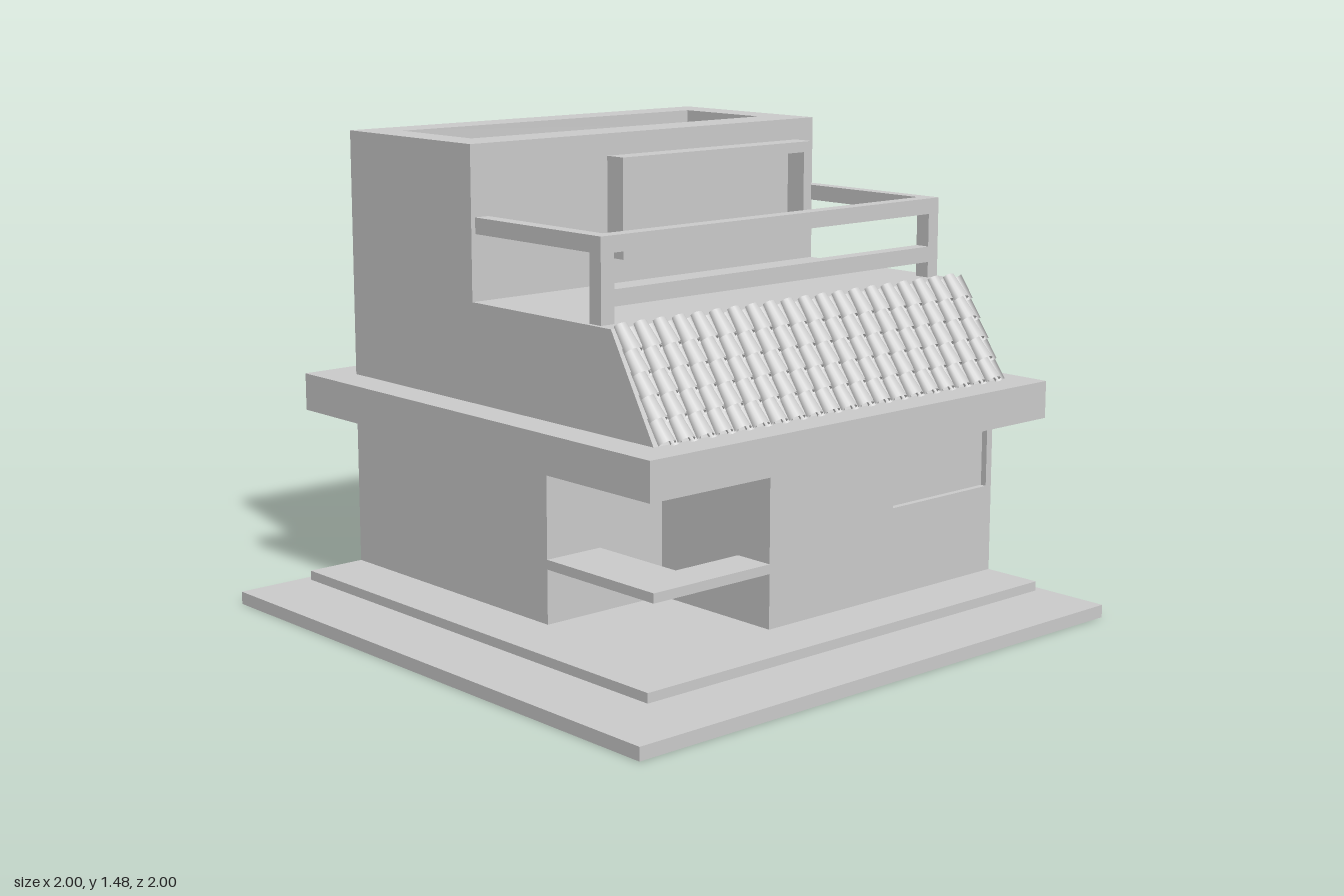
import * as THREE from 'three';
import { mergeGeometries } from 'three/addons/utils/BufferGeometryUtils.js';

const material = new THREE.MeshStandardMaterial({ color: 0xcccccc });
const tileMaterial = new THREE.MeshStandardMaterial({ color: 0xcccccc, side: THREE.DoubleSide });

export function createModel() {
  const model = new THREE.Group();

  const add = (name, geometry, parent = model, mat = material) => {
    const mesh = new THREE.Mesh(geometry, mat);
    mesh.name = name;
    parent.add(mesh);
    return mesh;
  };

  // Box given by its limits on each axis
  const box = (name, x0, x1, y0, y1, z0, z1, parent) => {
    const g = new THREE.BoxGeometry(x1 - x0, y1 - y0, z1 - z0);
    g.translate((x0 + x1) / 2, (y0 + y1) / 2, (z0 + z1) / 2);
    return add(name, g, parent);
  };

  const polygon = (points) => new THREE.Shape(points.map(([a, b]) => new THREE.Vector2(a, b)));
  const rect = (a0, a1, b0, b1) => polygon([[a0, b0], [a1, b0], [a1, b1], [a0, b1]]);
  const extrude = (shape, depth) => new THREE.ExtrudeGeometry(shape, { depth, bevelEnabled: false });

  // Upright rectangular frame facing the front
  const frame = (name, outer, inner, z0, z1) => {
    const shape = rect(...outer);
    shape.holes.push(rect(...inner));
    return add(name, extrude(shape, z1 - z0).translate(0, 0, z0));
  };

  // Ground plates
  box('basePlate', -1, 0.91, 0, 0.04, -0.91, 1);
  box('pavement', -0.76, 0.88, 0.04, 0.07, -0.88, 0.76);

  // Ground floor with an open corner and a shallow window niche
  box('groundFloorRear', -0.565, 0.88, 0.07, 0.57, -0.88, 0.09);
  box('groundFloorFront', -0.11, 0.88, 0.07, 0.57, 0.09, 0.545);
  frame('frontWall', [-0.11, 0.88, 0.07, 0.57], [0.42, 0.855, 0.35, 0.55], 0.545, 0.565);

  // L-shaped counter in the open corner
  const counter = polygon([[-0.565, -0.565], [-0.11, -0.565], [-0.11, -0.43], [-0.36, -0.43], [-0.36, -0.09], [-0.565, -0.09]]);
  add('counter', extrude(counter, 0.03).rotateX(-Math.PI / 2).translate(0, 0.24, 0));

  // Projecting floor slab
  box('eaveSlab', -0.68, 1, 0.57, 0.69, -1, 0.68);

  // Upper storey: side profile drawn as (-z, y), swept along x
  const side = polygon([[-0.565, 0.69], [0.88, 0.69], [0.88, 1.425], [0.255, 1.425], [0.255, 1.0], [-0.385, 1.0]]);
  add('upperStorey', extrude(side, 1.445).rotateY(Math.PI / 2).translate(-0.565, 0, 0));

  // Parapet around the sunken flat roof
  const parapet = rect(-0.565, 0.88, 0.255, 0.88);
  parapet.holes.push(rect(-0.45, 0.765, 0.4, 0.755));
  add('roofParapet', extrude(parapet, 0.05).rotateX(-Math.PI / 2).translate(0, 1.425, 0));

  // Terrace window surround
  frame('upperWindowFrame', [-0.03, 0.8, 1.085, 1.405], [0.005, 0.765, 1.12, 1.37], -0.255, -0.18);

  // Terrace railing
  const railing = new THREE.Group();
  railing.name = 'railing';
  model.add(railing);
  box('frontTopRail', -0.55, 0.87, 1.205, 1.255, 0.275, 0.325, railing);
  box('frontLowerRail', -0.5, 0.825, 1.05, 1.1, 0.275, 0.325, railing);
  for (const [x0, x1] of [[-0.55, -0.5], [0.825, 0.87]]) {
    box('sideRail', x0, x1, 1.205, 1.255, -0.255, 0.275, railing);
    box('post', x0, x1, 1.0, 1.205, 0.275, 0.325, railing);
  }

  // Tiled slope: tapered half-round covers between upturned pans
  const slope = new THREE.Group();
  slope.name = 'tiledSlope';
  slope.position.set(0, 0.69, 0.565);
  slope.rotation.x = -Math.atan2(0.18, 0.31);
  model.add(slope);

  const pitch = 0.0727;
  const tile = (top, bottom, start, x, y, z) =>
    new THREE.CylinderGeometry(top, bottom, 0.088, 8, 1, true, start, Math.PI)
      .scale(1, 1, 0.8)
      .rotateX(-0.16)
      .translate(x, y, z);
  const covers = [];
  const pans = [];
  for (let row = 0; row < 5; row++) {
    const y = 0.036 + row * 0.07;
    for (let col = 0; col < 20; col++) {
      const x = -0.545 + col * pitch;
      covers.push(tile(0.023, 0.031, -Math.PI / 2, x, y, 0.026));
      pans.push(tile(0.026, 0.02, Math.PI / 2, x + pitch / 2, y, 0.028));
    }
  }
  add('coverTiles', mergeGeometries(covers), slope, tileMaterial);
  add('panTiles', mergeGeometries(pans), slope, tileMaterial);

  return model;
}
